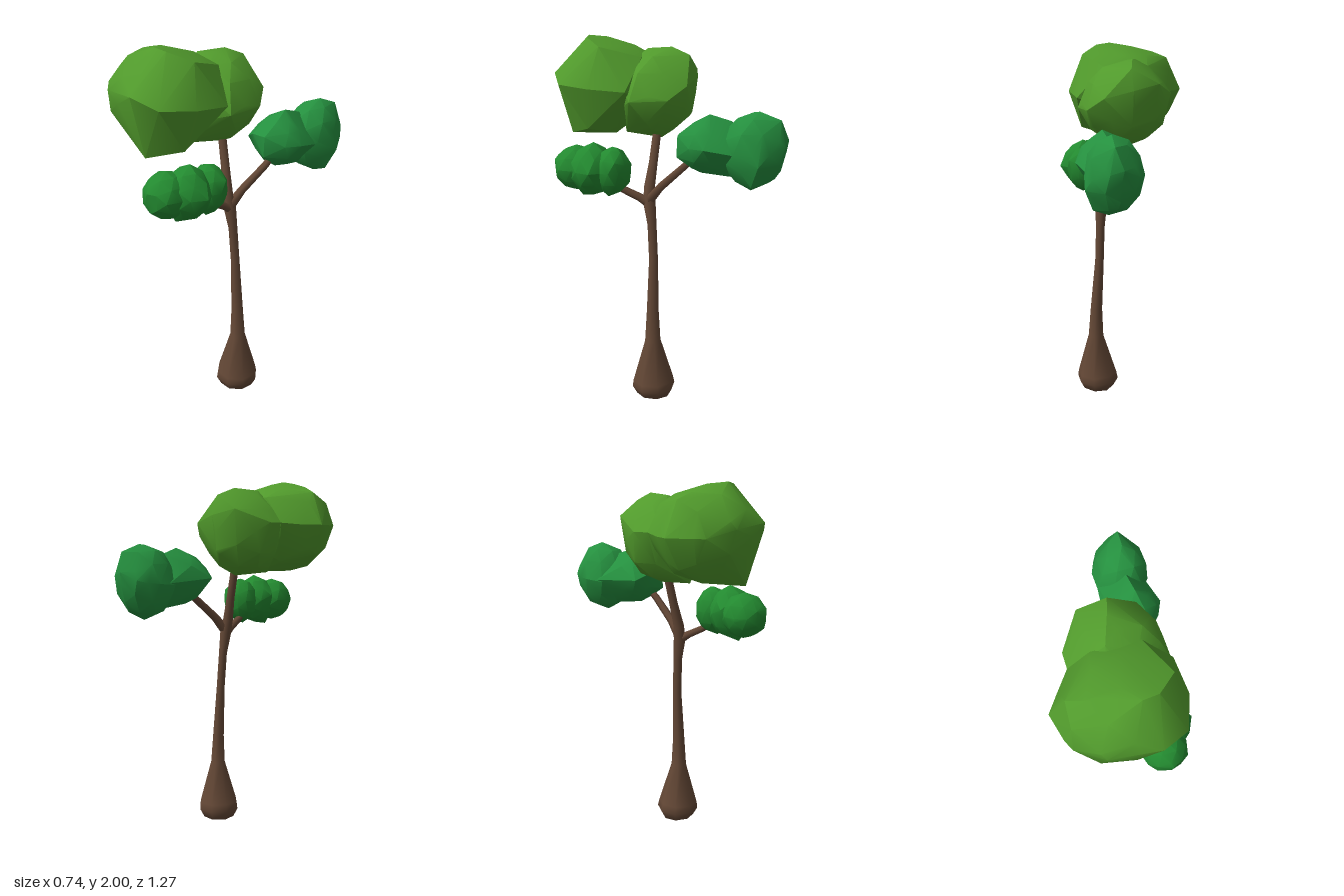
import * as THREE from 'three';
import { toCreasedNormals } from 'three/addons/utils/BufferGeometryUtils.js';
import { ConvexGeometry } from 'three/addons/geometries/ConvexGeometry.js';

const material = (color) => new THREE.MeshStandardMaterial({ color });

// Tapered limb through [x, y, z, radius] stations, closed at both ends
function limb(stations, sides = 8) {
  const centres = stations.map(([x, y, z]) => new THREE.Vector3(x, y, z));
  const up = new THREE.Vector3(0, 1, 0);
  const positions = [], indices = [];
  const last = stations.length - 1;
  centres.forEach((c, i) => {
    const dir = centres[Math.min(i + 1, last)].clone().sub(centres[Math.max(i - 1, 0)]).normalize();
    const turn = new THREE.Quaternion().setFromUnitVectors(up, dir);
    for (let s = 0; s < sides; s++) {
      const a = ((s + 0.5) / sides) * Math.PI * 2;
      const r = stations[i][3];
      const p = new THREE.Vector3(Math.sin(a) * r, 0, Math.cos(a) * r).applyQuaternion(turn).add(c);
      positions.push(p.x, p.y, p.z);
      if (i < last) {
        const n = (s + 1) % sides, k = i * sides;
        indices.push(k + s, k + n, k + sides + n, k + s, k + sides + n, k + sides + s);
      }
    }
  });
  const bottom = positions.length / 3;
  positions.push(...centres[0].toArray(), ...centres[last].toArray());
  for (let s = 0; s < sides; s++) {
    const n = (s + 1) % sides, k = last * sides;
    indices.push(bottom, n, s, bottom + 1, k + s, k + n);
  }
  const geometry = new THREE.BufferGeometry();
  geometry.setAttribute('position', new THREE.Float32BufferAttribute(positions, 3));
  geometry.setIndex(indices);
  return toCreasedNormals(geometry, 1.2);
}

// Leafy lump: hull around a rough ellipsoid plus outlying corner points
function lump(centre, radii, corners) {
  const ball = new THREE.IcosahedronGeometry(1, 1).attributes.position;
  const c = new THREE.Vector3(...centre), r = new THREE.Vector3(...radii);
  const points = corners.map((p) => new THREE.Vector3(...p));
  for (let i = 0; i < ball.count; i++) {
    points.push(new THREE.Vector3().fromBufferAttribute(ball, i).multiply(r).add(c));
  }
  return toCreasedNormals(new ConvexGeometry(points), 0.55);
}

export function createModel() {
  const tree = new THREE.Group();
  tree.name = 'tree';
  const add = (parent, name, geometry, mat) => {
    const mesh = new THREE.Mesh(geometry, mat);
    mesh.name = name;
    parent.add(mesh);
  };
  const clump = (name, color, lumps) => {
    const group = new THREE.Group();
    group.name = name;
    const mat = material(color);
    lumps.forEach((args, i) => add(group, `${name}Lump${i + 1}`, lump(...args), mat));
    tree.add(group);
  };

  // Trunk with swollen foot, and the three branches
  const bark = material(0x644836);
  add(tree, 'trunk', limb([
    [0.2, 0, 0.075, 0.095], [0.198, 0.05, 0.073, 0.122], [0.2, 0.09, 0.075, 0.115],
    [0.205, 0.33, 0.075, 0.044], [0.2, 0.5, 0.075, 0.034], [0.178, 0.8, 0.073, 0.025],
    [0.168, 1.0, 0.082, 0.025], [0.16, 1.12, 0.097, 0.034], [0.143, 1.2, 0.1, 0.03],
    [0.108, 1.33, 0.085, 0.024], [0.07, 1.47, 0.073, 0.023], [0.05, 1.56, 0.07, 0.02],
  ]), bark);
  add(tree, 'backBranch', limb([
    [0.16, 1.13, 0.1, 0.03], [0.182, 1.215, 0.03, 0.023], [0.22, 1.335, -0.1, 0.02], [0.22, 1.42, -0.19, 0.018],
  ], 6), bark);
  add(tree, 'frontBranch', limb([
    [0.16, 1.11, 0.09, 0.028], [0.167, 1.15, 0.15, 0.022], [0.18, 1.19, 0.23, 0.02], [0.19, 1.24, 0.3, 0.018],
  ], 6), bark);

  // Large top crown
  clump('topCrown', 0x519a2c, [
    [[-0.05, 1.74, 0.365], [0.305, 0.25, 0.262], [
      [-0.37, 1.74, 0.31], [-0.29, 1.92, 0.33], [-0.1, 1.98, 0.4], [0.02, 2, 0.45], [0.1, 1.99, 0.44],
      [0.2, 1.945, 0.35], [0.275, 1.735, 0.4], [0.07, 1.8, 0.635], [-0.18, 1.78, 0.6], [0.21, 1.75, 0.57],
      [-0.335, 1.74, 0.45], [-0.3, 1.58, 0.35], [-0.19, 1.51, 0.42], [0.05, 1.475, 0.55],
      [0.05, 1.48, 0.3], [0.2, 1.52, 0.42], [-0.23, 1.75, 0.125], [0, 1.945, 0.2],
      [-0.12, 1.89, 0.13], [0.12, 1.89, 0.14], [0.265, 1.72, 0.2],
    ]],
    [[0.017, 1.7, 0.078], [0.24, 0.23, 0.21], [
      [-0.23, 1.75, 0.04], [-0.115, 1.82, -0.12], [0.03, 1.79, -0.145], [0.18, 1.75, -0.11],
      [0.255, 1.68, -0.02], [0.265, 1.67, 0.18], [0, 1.94, 0], [0.03, 1.9, -0.1], [-0.05, 1.93, 0.14],
      [-0.02, 1.475, 0.26], [0.04, 1.46, 0.05], [0.03, 1.6, -0.115], [0.21, 1.56, 0.1], [-0.23, 1.75, 0.125],
    ]],
  ]);

  // Middle crown at the back
  clump('backCrown', 0x25903f, [
    [[0.2, 1.45, -0.21], [0.145, 0.14, 0.13], [
      [0.045, 1.45, -0.13], [0.155, 1.5, -0.065], [0.24, 1.39, -0.065], [0.24, 1.5, -0.07], [0.36, 1.45, -0.22],
      [0.22, 1.615, -0.235], [0.21, 1.58, -0.35], [0.2, 1.305, -0.19], [0.2, 1.285, -0.38], [0.08, 1.45, -0.32],
      [0.07, 1.43, -0.42], [0.325, 1.42, -0.38],
    ]],
    [[0.215, 1.435, -0.46], [0.146, 0.195, 0.17], [
      [0.065, 1.43, -0.49], [0.12, 1.45, -0.6], [0.205, 1.49, -0.64], [0.27, 1.47, -0.625],
      [0.365, 1.37, -0.495], [0.35, 1.475, -0.48], [0.325, 1.4, -0.38], [0.07, 1.42, -0.38],
      [0.24, 1.595, -0.6], [0.23, 1.635, -0.49], [0.275, 1.6, -0.46], [0.22, 1.29, -0.575],
      [0.24, 1.23, -0.455], [0.32, 1.26, -0.46], [0.21, 1.28, -0.36],
    ]],
  ]);

  // Small crown at the front
  clump('frontCrown', 0x238a30, [
    [[0.15, 1.3, 0.5], [0.122, 0.125, 0.125], [
      [0.16, 1.34, 0.625], [0.17, 1.235, 0.61], [0.03, 1.28, 0.5], [0.255, 1.3, 0.575], [0.15, 1.415, 0.51],
    ]],
    [[0.195, 1.3, 0.4], [0.125, 0.14, 0.125], [
      [0.2, 1.45, 0.39], [0.34, 1.3, 0.385], [0.17, 1.15, 0.465], [0.065, 1.33, 0.4],
    ]],
    [[0.21, 1.3, 0.285], [0.105, 0.13, 0.1], [
      [0.22, 1.425, 0.255], [0.2, 1.34, 0.185], [0.31, 1.36, 0.25], [0.22, 1.16, 0.31], [0.2, 1.24, 0.195],
    ]],
  ]);

  return tree;
}
